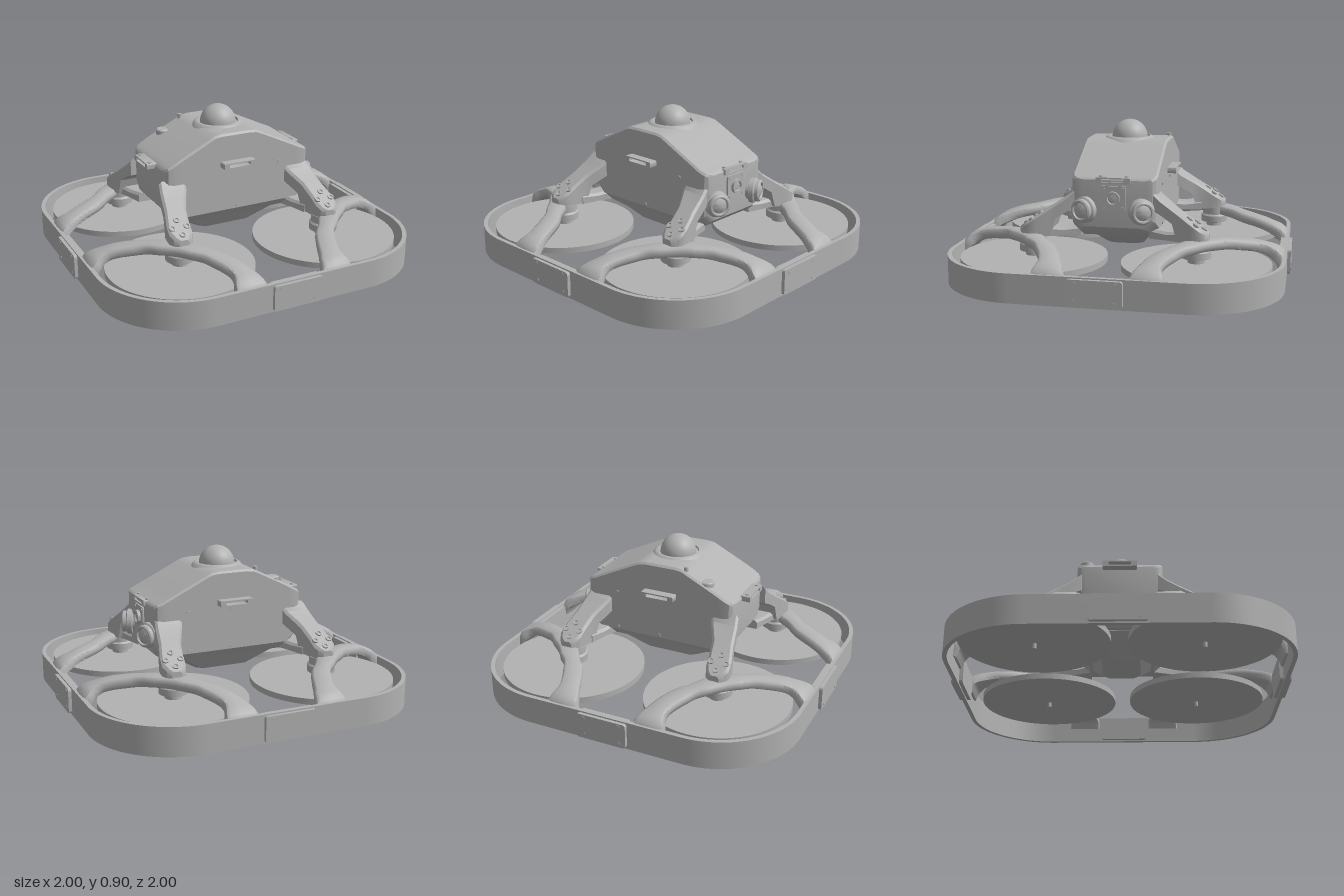
import * as THREE from 'three';
import { toCreasedNormals } from 'three/addons/utils/BufferGeometryUtils.js';

const grey = new THREE.MeshStandardMaterial({ color: 0xb2b2b2 });
grey.name = 'matte grey';
const V = (x, y, z) => new THREE.Vector3(x, y, z);

function add(parent, name, geo, x = 0, y = 0, z = 0) {
  const m = new THREE.Mesh(geo, grey);
  m.name = name;
  m.position.set(x, y, z);
  parent.add(m);
  return m;
}

// Closed skin through a row of equal-sized cross-sections, capped, facing outward
function loft(sections, crease = 0.6) {
  const n = sections[0].length, pts = sections.flat(), idx = [];
  for (let s = 0; s < sections.length - 1; s++)
    for (let i = 0; i < n; i++) {
      const a = s * n + i, b = s * n + (i + 1) % n;
      idx.push(a, b, a + n, b, b + n, a + n);
    }
  const e = (sections.length - 1) * n;
  for (let i = 1; i < n - 1; i++) idx.push(0, i + 1, i, e, e + i, e + i + 1);
  let vol = 0;
  for (let i = 0; i < idx.length; i += 3)
    vol += pts[idx[i]].dot(pts[idx[i + 1]].clone().cross(pts[idx[i + 2]]));
  if (vol < 0) idx.reverse();
  const g = new THREE.BufferGeometry().setFromPoints(pts);
  g.setIndex(idx);
  return toCreasedNormals(g, crease);
}

function roundRect(w, h, r, Type = THREE.Shape) {
  const s = new Type();
  s.moveTo(w - r, -h);
  s.absarc(w - r, -h + r, r, -Math.PI / 2, 0);
  s.absarc(w - r, h - r, r, 0, Math.PI / 2);
  s.absarc(-w + r, h - r, r, Math.PI / 2, Math.PI);
  s.absarc(-w + r, -h + r, r, Math.PI, Math.PI * 1.5);
  s.closePath();
  return s;
}
const extrude = (shape, depth, seg = 8) =>
  toCreasedNormals(new THREE.ExtrudeGeometry(shape, { depth, bevelEnabled: false, curveSegments: seg }), 0.5);
const cyl = (r, h, r2 = r, seg = 24) => new THREE.CylinderGeometry(r, r2, h, seg);
const lathe = (p, seg = 40) =>
  toCreasedNormals(new THREE.LatheGeometry(p.map(([x, y]) => new THREE.Vector2(x, y)), seg), 0.6);

// One bow running from the front edge over the motor to the side edge
function bowGeometry() {
  const half = [ // x, y, z, width, height
    [0.27, 0.09, 0.955, 0.2, 0.04], [0.27, 0.155, 0.935, 0.19, 0.07], [0.285, 0.205, 0.84, 0.12, 0.065],
    [0.355, 0.235, 0.69, 0.115, 0.065], [0.435, 0.25, 0.59, 0.115, 0.065]];
  const rows = [...half, [0.505, 0.252, 0.505, 0.12, 0.065],
    ...half.map(([x, y, z, w, h]) => [z, y, x, w, h]).reverse()];
  const path = new THREE.CatmullRomCurve3(rows.map(r => V(r[0], r[1], r[2])));
  const size = new THREE.CatmullRomCurve3(rows.map(r => V(r[3], r[4], 0)));
  const sections = [];
  for (let i = 0; i <= 48; i++) {
    const t = i / 48, p = path.getPoint(t), d = path.getTangent(t), s = size.getPoint(t);
    // keep the feet square to the rim, and follow the path in between
    const k = Math.min(t, 1 - t) < 0.14;
    const side = k ? (t < 0.5 ? V(1, 0, 0) : V(0, 0, -1)) : V(-d.z, 0, d.x).normalize();
    const up = side.clone().cross(d).normalize();
    if (side.dot(V(-d.z, 0, d.x)) < 0) side.negate();
    const ring = [];
    for (let j = 0; j < 12; j++) {
      const a = j / 12 * Math.PI * 2, c = Math.cos(a), q = Math.sin(a);
      const f = v => Math.sign(v) * Math.sqrt(Math.abs(v));
      const out = up.y < 0 ? -1 : 1;
      ring.push(p.clone().addScaledVector(side, f(c) * s.x / 2).addScaledVector(up, out * f(q) * s.y / 2));
    }
    sections.push(ring);
  }
  return loft(sections, 0.9);
}

// Bar along z from rows of: z, x centre, half width, top, bottom
const barGeometry = (rows, sx, sz) => loft(rows.map(([z, x, w, t, b]) => {
  const c = Math.min(0.015, w / 2, (t - b) / 3);
  return [[-w, b], [w, b], [w, t - c], [w - c, t], [c - w, t], [-w, t - c]].map(([dx, y]) => V(sx * (x + dx), y, sz * z));
}));

export function createModel() {
  const model = new THREE.Group();
  model.name = 'quadcopter';

  // Outer guard rim
  const rim = roundRect(0.98, 0.98, 0.5);
  rim.holes.push(roundRect(0.955, 0.955, 0.475, THREE.Path));
  add(model, 'guardRim', extrude(rim, 0.168, 24).rotateX(-Math.PI / 2));

  for (let q = 0; q < 4; q++) {
    const side = new THREE.Group();
    side.name = 'rimSide';
    side.rotation.y = q * Math.PI / 2;
    model.add(side);
    // Joint plates with screws, and the bow over each rotor
    add(side, 'jointPlate', extrude(roundRect(0.154, 0.075, 0.015), 0.022), 0, 0.085, 0.978);
    add(side, 'innerJointPlate', extrude(roundRect(0.154, 0.075, 0.015), 0.024), 0, 0.085, 0.932);
    add(side, 'jointRib', new THREE.BoxGeometry(0.28, 0.02, 0.03), 0, 0.145, 0.968);
    for (const x of [-0.11, 0.11]) for (const y of [0.035, 0.14])
      add(side, 'jointScrew', cyl(0.011, 0.004, 0.011, 12).rotateX(Math.PI / 2), x, y, 1.0);
    add(side, 'rotorBow', bowGeometry());
  }

  // Rotors, motors and body arms
  for (const sx of [-1, 1]) for (const sz of [-1, 1]) {
    const x = 0.478 * sx, z = 0.478 * sz;
    add(model, 'rotorDisc', cyl(0.43, 0.035, 0.43, 64), x, 0.128, z);
    add(model, 'rotorPin', cyl(0.012, 0.05, 0.012, 12), x, 0.105, z);
    add(model, 'motor', lathe([[0, 0.14], [0.05, 0.14], [0.05, 0.165], [0.085, 0.175], [0.085, 0.215],
      [0.075, 0.225], [0.075, 0.27], [0, 0.27]], 28), x, 0, z);
    add(model, 'upperArm', barGeometry([
      [0.22, 0.405, 0.085, 0.55, 0.44], [0.27, 0.42, 0.082, 0.505, 0.415], [0.34, 0.445, 0.07, 0.458, 0.37],
      [0.37, 0.455, 0.066, 0.438, 0.27], [0.45, 0.475, 0.07, 0.385, 0.265], [0.5, 0.48, 0.07, 0.352, 0.265],
      [0.53, 0.48, 0.055, 0.332, 0.27], [0.55, 0.48, 0.03, 0.318, 0.28]], sx, sz), 0, 0, 0);
    add(model, 'lowerArm', barGeometry([
      [0.2, 0.39, 0.06, 0.32, 0.262], [0.3, 0.42, 0.055, 0.31, 0.262], [0.4, 0.45, 0.06, 0.32, 0.262]], sx, sz));
    const pad = new THREE.Group();
    pad.name = 'motorScrews';
    pad.position.set(x, 0.368, z);
    pad.rotation.x = sz * 0.585;
    model.add(pad);
    for (const [dx, dz] of [[-0.045, 0], [0.045, 0], [0, -0.05], [0, 0.05]])
      add(pad, 'motorScrew', lathe([[0.019, -0.006], [0.019, 0.007], [0.011, 0.007], [0.008, 0.001], [0, 0.001]], 16), dx, 0, dz);
  }

  // Body shell, from stations along x: x, half width, top, bottom
  const shell = [
    [-0.46, 0.195, 0.605, 0.37], [-0.453, 0.225, 0.615, 0.36], [-0.437, 0.243, 0.628, 0.34], [-0.405, 0.25, 0.645, 0.305],
    [-0.36, 0.25, 0.67, 0.26], [-0.17, 0.25, 0.765, 0.26], [-0.135, 0.25, 0.782, 0.26], [-0.09, 0.25, 0.787, 0.26],
    [0.09, 0.25, 0.787, 0.26], [0.135, 0.25, 0.782, 0.26], [0.17, 0.25, 0.767, 0.26], [0.4, 0.25, 0.657, 0.26],
    [0.445, 0.25, 0.635, 0.285], [0.478, 0.243, 0.622, 0.31], [0.494, 0.225, 0.613, 0.325], [0.5, 0.195, 0.605, 0.33]];
  add(model, 'bodyShell', loft(shell.map(([x, w, t, b]) => [[w - 0.045, b], [w, b + 0.05], [w, t - 0.012], [w - 0.012, t],
    [0.012 - w, t], [-w, t - 0.012], [-w, b + 0.05], [0.045 - w, b]].map(([z, y]) => V(x, y, z))), 0.45));

  // Tapered belly
  add(model, 'belly', loft([[0.33, 0.185, 0.27], [0.33, 0.185, 0.255], [0.18, 0.115, 0.16]].map(([x, z, y]) =>
    [[x, z - 0.04], [x - 0.04, z], [0.04 - x, z], [-x, z - 0.04], [-x, 0.04 - z], [0.04 - x, -z], [x - 0.04, -z], [x, 0.04 - z]]
      .map(([a, b]) => V(a, y, b)))));

  // Dome with its collar
  add(model, 'domeCollar', lathe([[0.2, 0.7], [0.165, 0.765], [0.145, 0.79], [0.132, 0.798], [0.124, 0.798], [0.12, 0.785], [0, 0.785]]));
  add(model, 'dome', new THREE.SphereGeometry(0.108, 40, 20, 0, Math.PI * 2, 0, Math.PI / 2 + 0.1), 0, 0.788, 0);

  // Roof buttons
  add(model, 'powerButton', lathe([[0.042, -0.07], [0.042, 0.01], [0.036, 0.016], [0, 0.016]], 24), -0.28, 0.706, -0.2);
  add(model, 'antennaStud', cyl(0.014, 0.06, 0.014, 12), -0.155, 0.765, -0.22);

  // Slotted lugs on the four sides
  const lug = (w, depth) => {
    const s = roundRect(w, 0.018, 0.006);
    s.holes.push(roundRect(w - 0.035, 0.01, 0.004, THREE.Path));
    return extrude(s, depth, 4);
  };
  add(model, 'sideLug', lug(0.105, 0.06), 0, 0.603, 0.243);
  add(model, 'sideLug', lug(0.105, 0.06), 0, 0.603, -0.303);
  add(model, 'endLug', lug(0.1, 0.06).rotateY(-Math.PI / 2), -0.45, 0.603, 0);
  add(model, 'endLug', lug(0.1, 0.03).rotateY(Math.PI / 2), 0.482, 0.603, 0);

  // Shell screws
  for (const sz of [-1, 1]) for (const x of [0.01, 0.29]) for (const y of [0.325, 0.56])
    add(model, 'shellScrew', cyl(0.012, 0.008, 0.012, 12).rotateX(Math.PI / 2), x, y, sz * 0.251);
  for (const x of [-0.485, 0.48]) for (const z of [-0.075, 0.075])
    add(model, 'lugScrew', cyl(0.012, 0.012, 0.012, 12), x, 0.622, z);

  // Central camera on the end face
  const plate = add(model, 'cameraPlate', extrude(roundRect(0.072, 0.072, 0.008), 0.012).rotateY(Math.PI / 2), 0.498, 0.5, 0);
  add(plate, 'cameraLens', lathe([[0.042, 0], [0.042, 0.02], [0.03, 0.02], [0.026, 0.01], [0, 0.014]], 28).rotateZ(-Math.PI / 2), 0.01, 0, 0);
  for (const y of [-0.056, 0.056]) for (const z of [-0.056, 0.056])
    add(plate, 'cameraScrew', cyl(0.008, 0.008, 0.008, 10).rotateZ(Math.PI / 2), 0.013, y, z);

  // Angled cameras either side of it
  for (const sz of [-1, 1]) {
    const eye = add(model, 'angledCamera', lathe([[0.06, -0.09], [0.06, -0.015], [0.076, -0.01], [0.076, 0.018], [0.066, 0.024],
      [0.066, 0.045], [0.058, 0.052], [0.05, 0.052], [0.045, 0.042], [0.025, 0.052], [0, 0.056]], 32).rotateZ(-Math.PI / 2),
      0.505, 0.43, sz * 0.165);
    eye.rotation.y = -sz * 0.42;
  }
  return model;
}
